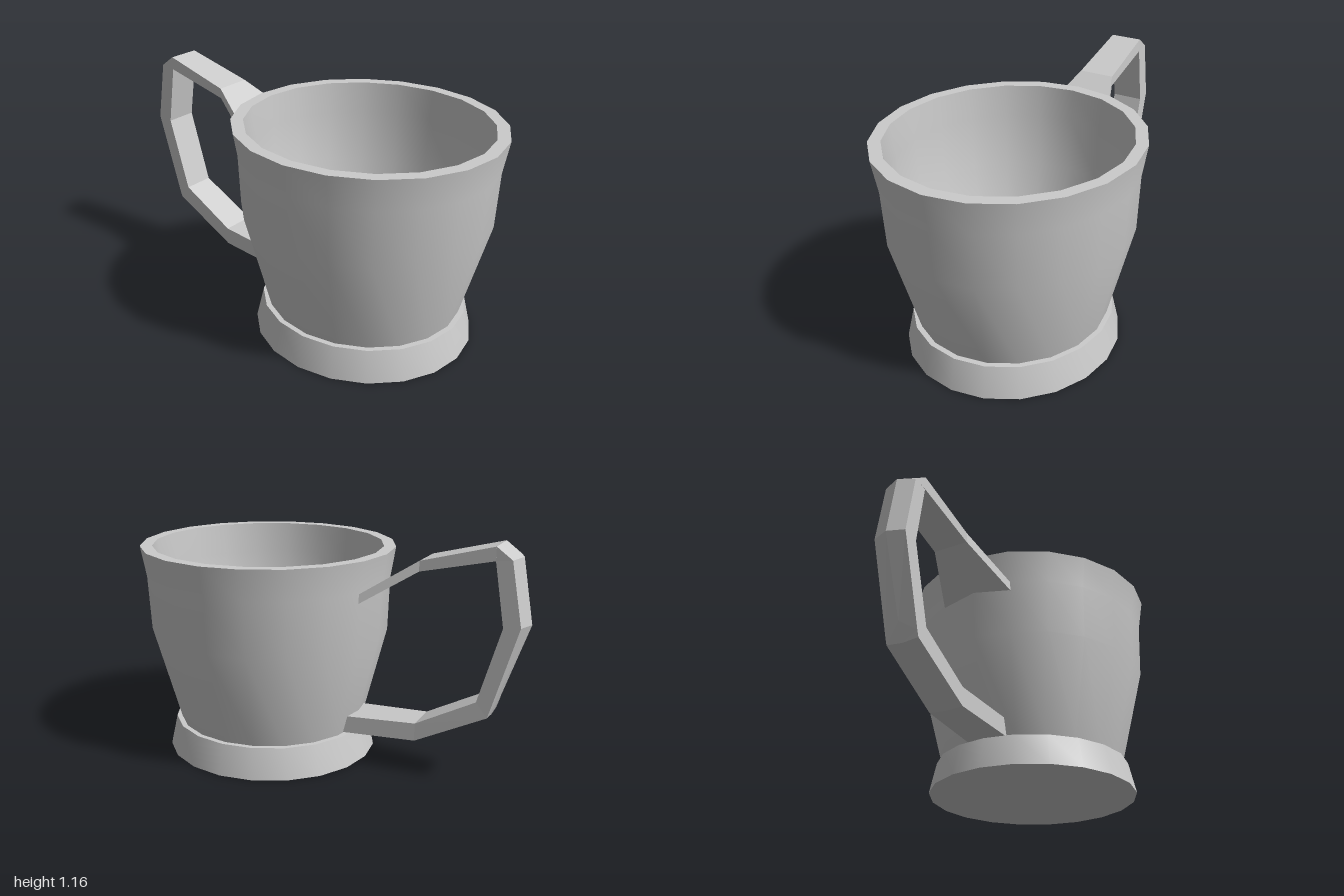
import * as THREE from 'three';
import { toCreasedNormals } from 'three/addons/utils/BufferGeometryUtils.js';

// Skin a row of closed loops (arrays of [x, y, z]) into a flat-faceted tube
function loft(loops) {
  const positions = [];
  const n = loops[0].length;
  for (let s = 0; s < loops.length - 1; s++) {
    for (let j = 0; j < n; j++) {
      const k = (j + 1) % n;
      const [a, b, c, d] = [loops[s][j], loops[s][k], loops[s + 1][k], loops[s + 1][j]];
      positions.push(...a, ...b, ...c, ...a, ...c, ...d);
    }
  }
  const geometry = new THREE.BufferGeometry();
  geometry.setAttribute('position', new THREE.Float32BufferAttribute(positions, 3));
  geometry.computeVertexNormals();
  return geometry;
}

export function createModel() {
  const model = new THREE.Group();
  const material = new THREE.MeshStandardMaterial({ color: 0xcccccc });

  // Cup: one closed profile, from the underside up the outside and down the inside
  const profile = [
    [0, 0], [0.52, 0], [0.485, 0.155], [0.46, 0.155],   // foot and neck
    [0.58, 0.64], [0.59, 0.91], [0.615, 1.065],         // outer wall
    [0.558, 1.065], [0.545, 0.91], [0.53, 0.64],        // rim and inner wall
    [0.405, 0.2], [0, 0.2],                             // floor
  ].map(([r, y]) => new THREE.Vector2(r, y));
  const cupGeometry = toCreasedNormals(new THREE.LatheGeometry(profile, 20), 0.6);
  cupGeometry.scale(1.052, 1, 1);
  const cup = new THREE.Mesh(cupGeometry, material);
  cup.name = 'cup';
  cup.position.x = 0.353;
  model.add(cup);

  // Handle stations: outer edge, outer ridge, inner edge (x, y) and half width
  const stations = [
    { edge: [-0.225, 0.9], ridge: [-0.225, 0.9], inner: [-0.225, 0.855], w: 0.19 },
    { edge: [-0.49, 1.07], ridge: [-0.49, 1.07], inner: [-0.49, 1.02], w: 0.09 },
    { edge: [-0.84, 1.165], ridge: [-0.84, 1.165], inner: [-0.84, 1.1], w: 0.081 },
    { edge: [-0.915, 1.11], ridge: [-0.945, 1.115], inner: [-0.84, 1.1], w: 0.08 },
    { edge: [-0.97, 0.81], ridge: [-1, 0.81], inner: [-0.89, 0.8], w: 0.08 },
    { edge: [-0.85, 0.39], ridge: [-0.875, 0.44], inner: [-0.785, 0.43], w: 0.08 },
    { edge: [-0.84, 0.36], ridge: [-0.84, 0.352], inner: [-0.785, 0.43], w: 0.08 },
    { edge: [-0.49, 0.18], ridge: [-0.49, 0.174], inner: [-0.49, 0.27], w: 0.085 },
    { edge: [-0.11, 0.158], ridge: [-0.11, 0.155], inner: [-0.11, 0.245], w: 0.1 },
  ];
  const loops = stations.map(({ edge, ridge, inner, w }) => [
    [...edge, w], [...ridge, 0], [...edge, -w], [...inner, -w], [...inner, w],
  ]);
  const handleMaterial = material.clone();
  handleMaterial.flatShading = true;
  const handle = new THREE.Mesh(loft(loops), handleMaterial);
  handle.name = 'handle';
  model.add(handle);

  return model;
}
